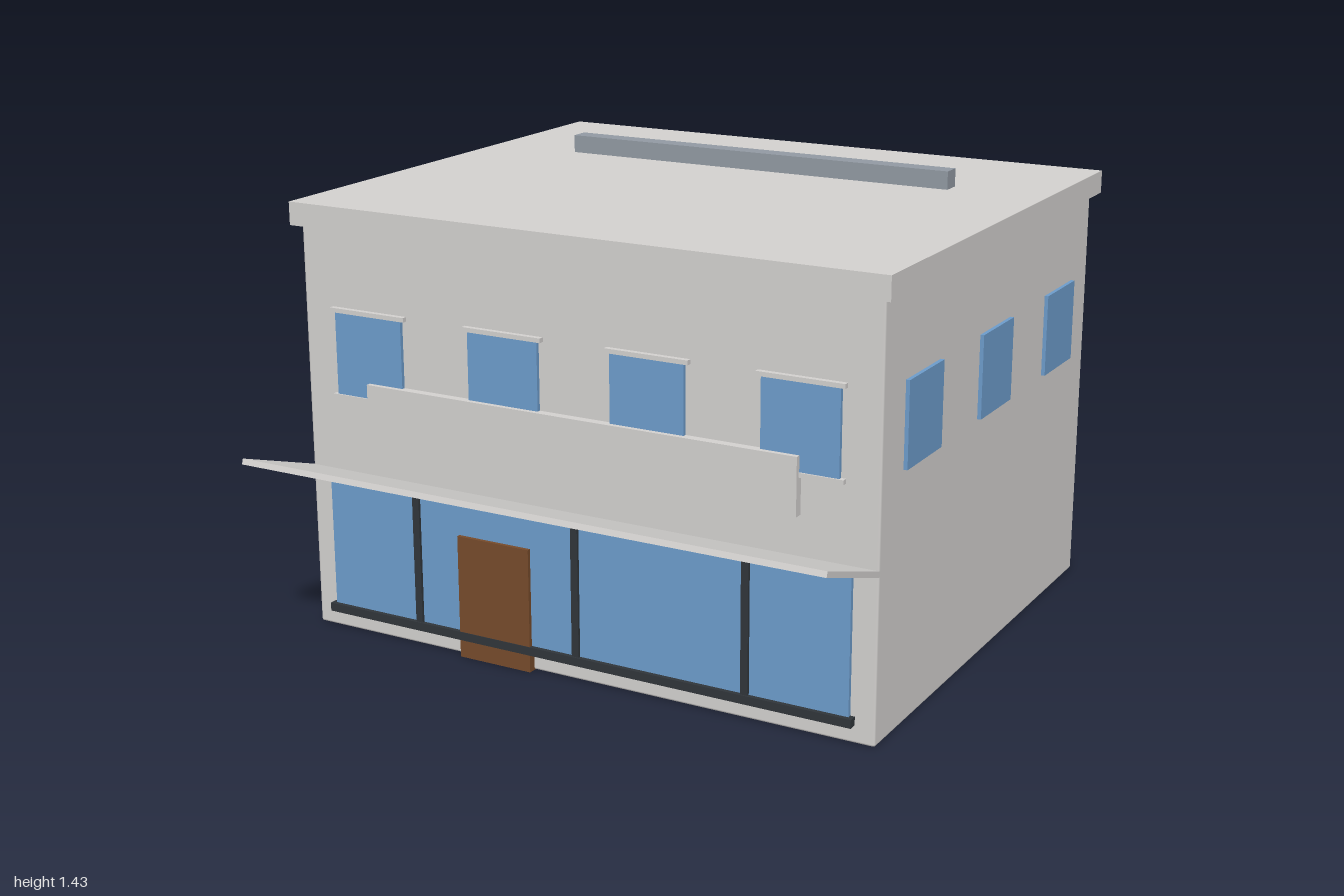
import * as THREE from 'three';
import { RoundedBoxGeometry } from 'three/addons/geometries/RoundedBoxGeometry.js';

const mat = (name, color) => new THREE.MeshStandardMaterial({ name, color });

export function createModel() {
  const wall = mat('pale stone', 0xd3d1cf);
  const glass = mat('blue glass', 0x6d9ccb);
  const wood = mat('brown wood', 0x764b2b);
  const frame = mat('dark frame', 0x30353a);
  const metal = mat('grey metal', 0x929aa3);

  const group = new THREE.Group();
  group.name = 'shopBuilding';

  // Box given by its limits on each axis
  function box(name, material, x0, x1, y0, y1, z0, z1, parent = group) {
    const mesh = new THREE.Mesh(new THREE.BoxGeometry(x1 - x0, y1 - y0, z1 - z0), material);
    mesh.position.set((x0 + x1) / 2, (y0 + y1) / 2, (z0 + z1) / 2);
    mesh.name = name;
    parent.add(mesh);
    return mesh;
  }

  // Main block with slightly softened edges
  const front = 0.66, back = -0.968, side = 0.975;
  const body = new THREE.Mesh(new RoundedBoxGeometry(side * 2, 1.305, front - back, 1, 0.008), wall);
  body.position.set(0, 0.6525, (front + back) / 2);
  body.name = 'walls';
  group.add(body);

  // Overhanging roof slab and rooftop unit
  box('roofSlab', wall, -1, 1, 1.302, 1.375, -1, 0.686);
  box('roofVent', metal, -0.683, 0.683, 1.375, 1.433, -0.517, -0.455);

  // Upper windows; local +z points out of the wall
  function upperWindow(x, z, turn, trimmed) {
    const win = new THREE.Group();
    win.name = 'upperWindow';
    win.position.set(x, 0, z);
    win.rotation.y = turn;
    box('windowPane', glass, -0.122, 0.122, 0.783, 1.043, -0.01, 0.012, win);
    if (trimmed) {
      box('windowLintel', wall, -0.137, 0.137, 1.043, 1.057, -0.01, 0.017, win);
      box('windowSill', wall, -0.137, 0.137, 0.769, 0.783, -0.01, 0.017, win);
    }
    group.add(win);
  }
  for (const x of [-0.732, -0.245, 0.245, 0.732]) {
    upperWindow(x, front, 0, true);
    upperWindow(x, back, Math.PI, true);
  }
  for (const z of [0.39, -0.155, -0.698]) {
    upperWindow(side, z, Math.PI / 2, false);
    upperWindow(-side, z, -Math.PI / 2, false);
  }

  // Shop front
  box('shopGlass', glass, -0.898, 0.898, 0.07, 0.503, 0.65, 0.673);
  for (const x of [-0.57, 0, 0.57]) {
    box('mullion', frame, x - 0.012, x + 0.012, 0.06, 0.508, 0.65, 0.682);
  }
  box('bottomRail', frame, -0.912, 0.912, 0.056, 0.083, 0.65, 0.687);
  box('door', wood, -0.415, -0.16, 0, 0.396, 0.65, 0.685);
  box('signBoard', wall, -0.732, 0.732, 0.655, 0.832, 0.65, 0.688);

  // Awning rising outwards from the wall
  const awning = box('awning', wall, -0.975, 0.975, -0.009, 0.009, 0, 0.362);
  awning.rotation.x = -0.325;
  awning.position.set(0, 0.578, 0.825);

  return group;
}
